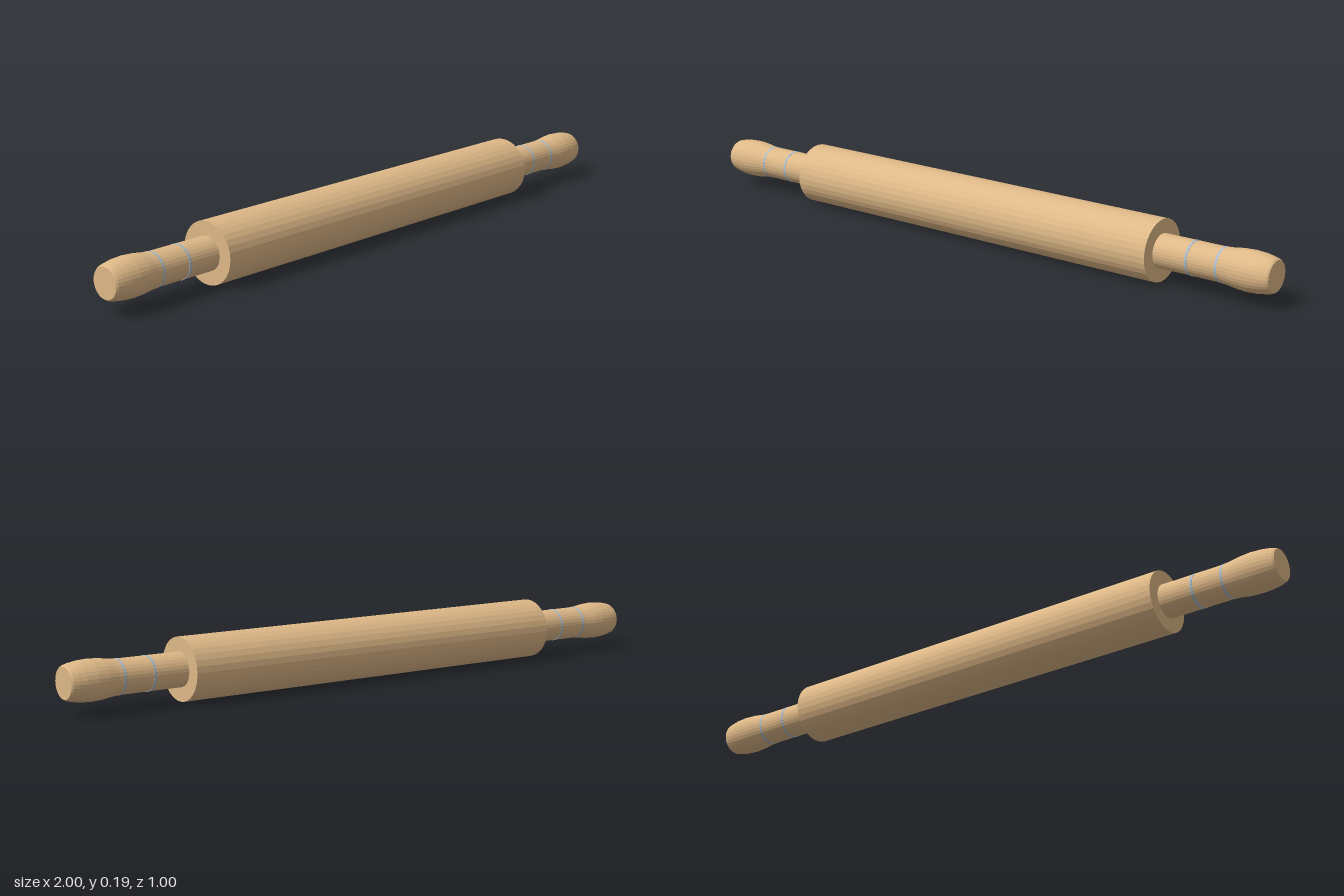
import * as THREE from 'three';

const SIDES = 32;
const wood = new THREE.MeshStandardMaterial({ color: 0xdeb887, flatShading: true });
const paint = new THREE.MeshStandardMaterial({ color: 0xa9bccb, flatShading: true });

// Lathe profile of [distance along the axis, radius] points, turned around x
function turned(name, points, material) {
  const profile = points.map(([s, r]) => new THREE.Vector2(r, s));
  const geometry = new THREE.LatheGeometry(profile, SIDES);
  geometry.rotateZ(-Math.PI / 2);
  const mesh = new THREE.Mesh(geometry, material);
  mesh.name = name;
  return mesh;
}

// Handle pointing along +x: straight neck, swollen grip and flat end
function createHandle(name) {
  const handle = new THREE.Group();
  handle.name = name;
  handle.add(turned('grip', [
    [0.68, 0], [0.68, 0.053], [0.9, 0.053], [0.93, 0.055], [0.965, 0.06], [1.0, 0.062],
    [1.035, 0.06], [1.06, 0.056], [1.075, 0.052], [1.081, 0.048], [1.081, 0],
  ], wood));
  // Thin painted rings
  for (const s of [0.81, 0.91]) {
    handle.add(turned('ring', [
      [s - 0.004, 0.05], [s - 0.004, 0.0537], [s + 0.004, 0.0542], [s + 0.004, 0.05],
    ], paint));
  }
  return handle;
}

export function createModel() {
  const pin = new THREE.Group();
  pin.name = 'rollingPin';

  // Roller
  pin.add(turned('roller', [[-0.697, 0], [-0.697, 0.097], [0.697, 0.097], [0.697, 0]], wood));

  // Matching handles at both ends
  const left = createHandle('leftHandle');
  const right = createHandle('rightHandle');
  right.rotation.y = Math.PI;
  pin.add(left, right);

  // Lies diagonally on the ground
  pin.position.y = 0.097;
  pin.rotation.y = THREE.MathUtils.degToRad(25.05);

  const model = new THREE.Group();
  model.add(pin);
  return model;
}
